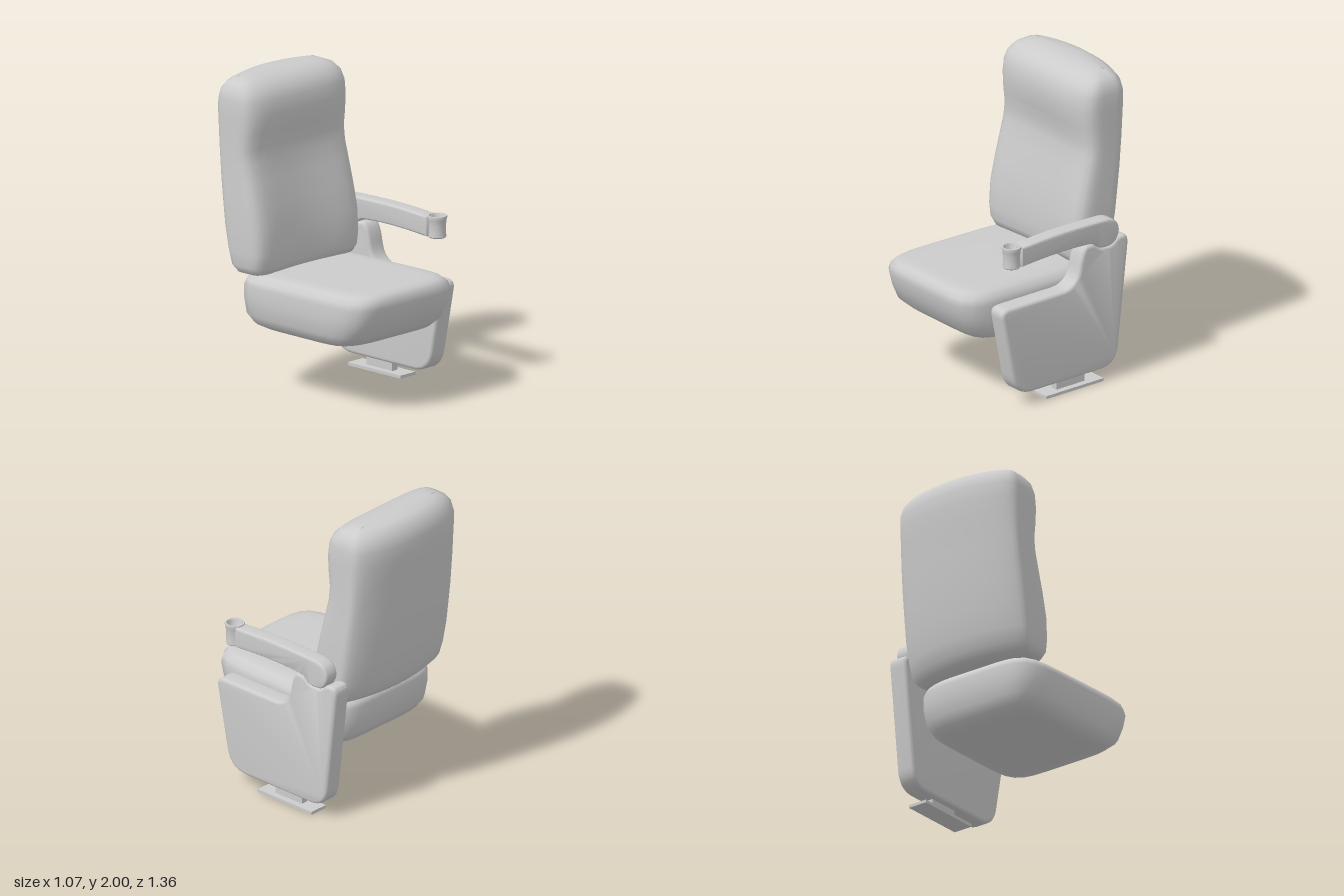
import * as THREE from 'three';
import { toCreasedNormals } from 'three/addons/utils/BufferGeometryUtils.js';

const material = new THREE.MeshStandardMaterial({ color: 0xcccccc });
const CX = -0.06; // middle of the cushions
const SEG = 56;

function part(name, geometry) {
  const mesh = new THREE.Mesh(geometry, material);
  mesh.name = name;
  return mesh;
}

// Closed skin over stacked rings; ring(row, c, s) returns a point for the unit superellipse point (c, s)
function cushion(rows, power, ring) {
  const pos = [], index = [];
  for (const row of rows) {
    for (let j = 0; j < SEG; j++) {
      const t = (j / SEG) * Math.PI * 2, c = Math.cos(t), s = Math.sin(t);
      const r = Math.pow(Math.abs(c) ** power + Math.abs(s) ** power, -1 / power);
      pos.push(...ring(row, c * r, s * r));
    }
  }
  for (let i = 0; i < rows.length - 1; i++) {
    for (let j = 0; j < SEG; j++) {
      const k = (j + 1) % SEG;
      const a = i * SEG + j, b = i * SEG + k, c = a + SEG, d = b + SEG;
      index.push(a, c, b, b, c, d);
    }
  }
  const bottom = pos.length / 3, top = bottom + 1, last = (rows.length - 1) * SEG;
  pos.push(...ring(rows[0], 0, 0), ...ring(rows[rows.length - 1], 0, 0));
  for (let j = 0; j < SEG; j++) {
    const k = (j + 1) % SEG;
    index.push(bottom, j, k, top, last + k, last + j);
  }
  const geometry = new THREE.BufferGeometry();
  geometry.setAttribute('position', new THREE.Float32BufferAttribute(pos, 3));
  geometry.setIndex(index);
  geometry.computeVertexNormals();
  return geometry;
}

// Side outline from corners [z, y, radius], extruded between x0 and x1 with rounded edges
function sidePlate(corners, x0, x1, bevel) {
  const shape = new THREE.Shape();
  const pts = corners.map(([z, y]) => new THREE.Vector2(-z, y));
  const n = pts.length;
  pts.forEach((p, i) => {
    const prev = pts[(i + n - 1) % n], next = pts[(i + 1) % n];
    const cut = (q) => {
      const d = p.distanceTo(q);
      return p.clone().lerp(q, Math.min(corners[i][2], d * 0.48) / d);
    };
    const a = cut(prev), b = cut(next);
    if (i === 0) shape.moveTo(a.x, a.y);
    else shape.lineTo(a.x, a.y);
    shape.quadraticCurveTo(p.x, p.y, b.x, b.y);
  });
  shape.closePath();
  const geometry = new THREE.ExtrudeGeometry(shape, {
    depth: x1 - x0 - 2 * bevel, bevelEnabled: true, bevelThickness: bevel,
    bevelSize: bevel, bevelOffset: -bevel, bevelSegments: 4, curveSegments: 8,
  });
  geometry.translate(0, 0, x0 + bevel);
  geometry.rotateY(Math.PI / 2);
  return toCreasedNormals(geometry, 0.6);
}

function box(name, x0, x1, y0, y1, z0, z1) {
  const geometry = new THREE.BoxGeometry(x1 - x0, y1 - y0, z1 - z0);
  geometry.translate((x0 + x1) / 2, (y0 + y1) / 2, (z0 + z1) / 2);
  return part(name, geometry);
}

export function createModel() {
  const group = new THREE.Group();
  group.name = 'armchairSeat';

  // Backrest rows: height, front z, back z, half width, forward curl of the side edges
  const backRows = [
    [0.75, -0.27, -0.45, 0.4, 0.03],
    [0.765, -0.24, -0.5, 0.44, 0.05],
    [0.81, -0.225, -0.54, 0.465, 0.06],
    [0.9, -0.22, -0.57, 0.47, 0.07],
    [1.05, -0.23, -0.6, 0.473, 0.07],
    [1.2, -0.255, -0.62, 0.47, 0.06],
    [1.35, -0.285, -0.64, 0.465, 0.05],
    [1.47, -0.31, -0.65, 0.462, 0.04],
    [1.56, -0.31, -0.66, 0.46, 0.03],
    [1.66, -0.285, -0.67, 0.46, 0.015],
    [1.77, -0.265, -0.68, 0.46, 0],
    [1.86, -0.275, -0.68, 0.458, 0],
    [1.92, -0.3, -0.665, 0.445, 0],
    [1.965, -0.345, -0.635, 0.41, 0],
    [1.99, -0.4, -0.6, 0.35, 0],
    [2.0, -0.46, -0.55, 0.27, 0],
  ];
  group.add(part('backrest', cushion(backRows, 5, ([y, zf, zb, w, curl], c, s) => {
    const z = (zf + zb) / 2 + (s * (zf - zb)) / 2;
    const bow = s < 0 ? 0.07 * -s : curl * s;
    return [CX + w * c, y, z + bow * c * c];
  })));

  // Seat rows: height, front z, back z, half width
  const seatRows = [
    [0.405, 0.38, -0.28, 0.3],
    [0.415, 0.46, -0.33, 0.37],
    [0.44, 0.54, -0.38, 0.415],
    [0.5, 0.61, -0.42, 0.452],
    [0.6, 0.655, -0.44, 0.46],
    [0.69, 0.68, -0.44, 0.46],
    [0.73, 0.672, -0.43, 0.448],
    [0.76, 0.645, -0.4, 0.415],
    [0.772, 0.6, -0.36, 0.375],
    [0.775, 0.53, -0.3, 0.31],
  ];
  group.add(part('seatCushion', cushion(seatRows, 6, ([y, zf, zb, w], c, s) => {
    const z = (zf + zb) / 2 + (s * (zf - zb)) / 2;
    const slope = y > 0.7 ? 0.015 * (z - 0.3) : 0;
    return [CX + w * c, y + slope, z];
  })));

  // Side panel with a notch that cradles the armrest pivot
  group.add(part('sidePanel', sidePlate([
    [0.51, 0.69, 0.07], [-0.1, 0.69, 0.12], [-0.15, 0.95, 0.12],
    [-0.235, 0.95, 0.03], [-0.29, 0.903, 0.04], [-0.38, 0.903, 0.04],
    [-0.43, 0.95, 0.03], [-0.52, 0.95, 0.08], [-0.42, 0.08, 0.13], [0.39, 0.08, 0.14],
  ], 0.39, 0.52, 0.022)));

  // Hinge joining the seat to the panel
  const hinge = new THREE.CylinderGeometry(0.05, 0.05, 0.08, 24);
  hinge.rotateZ(Math.PI / 2).translate(0.37, 0.6, -0.15);
  group.add(part('seatHinge', hinge));

  // Armrest with a rounded rear pivot
  group.add(part('armrest', sidePlate([
    [0.345, 1.083, 0.005], [0.2, 1.093, 0.06], [0, 1.1, 0.1], [-0.22, 1.096, 0.08],
    [-0.4, 1.09, 0.08], [-0.45, 1.0, 0.07], [-0.4, 0.905, 0.06], [-0.28, 0.905, 0.06],
    [-0.24, 0.955, 0.04], [-0.05, 0.967, 0.1], [0.15, 0.963, 0.1], [0.345, 0.95, 0.005],
  ], 0.42, 0.522, 0.015)));

  // Cup holder at the front of the armrest
  const cupProfile = [
    [0, 0.95], [0.052, 0.95], [0.057, 0.957], [0.054, 0.985], [0.054, 1.03], [0.058, 1.065],
    [0.064, 1.085], [0.062, 1.092], [0.052, 1.092], [0.047, 1.08], [0.043, 1.05], [0.032, 1.035], [0, 1.03],
  ].map(([r, y]) => new THREE.Vector2(r, y));
  const cup = toCreasedNormals(new THREE.LatheGeometry(cupProfile, 32), 0.7);
  cup.translate(0.471, 0, 0.39);
  group.add(part('cupHolder', cup));

  // Foot
  group.add(box('footStem', 0.43, 0.478, 0.015, 0.1, -0.19, 0.035));
  group.add(box('footPlate', 0.387, 0.52, 0, 0.02, -0.31, 0.15));
  return group;
}
